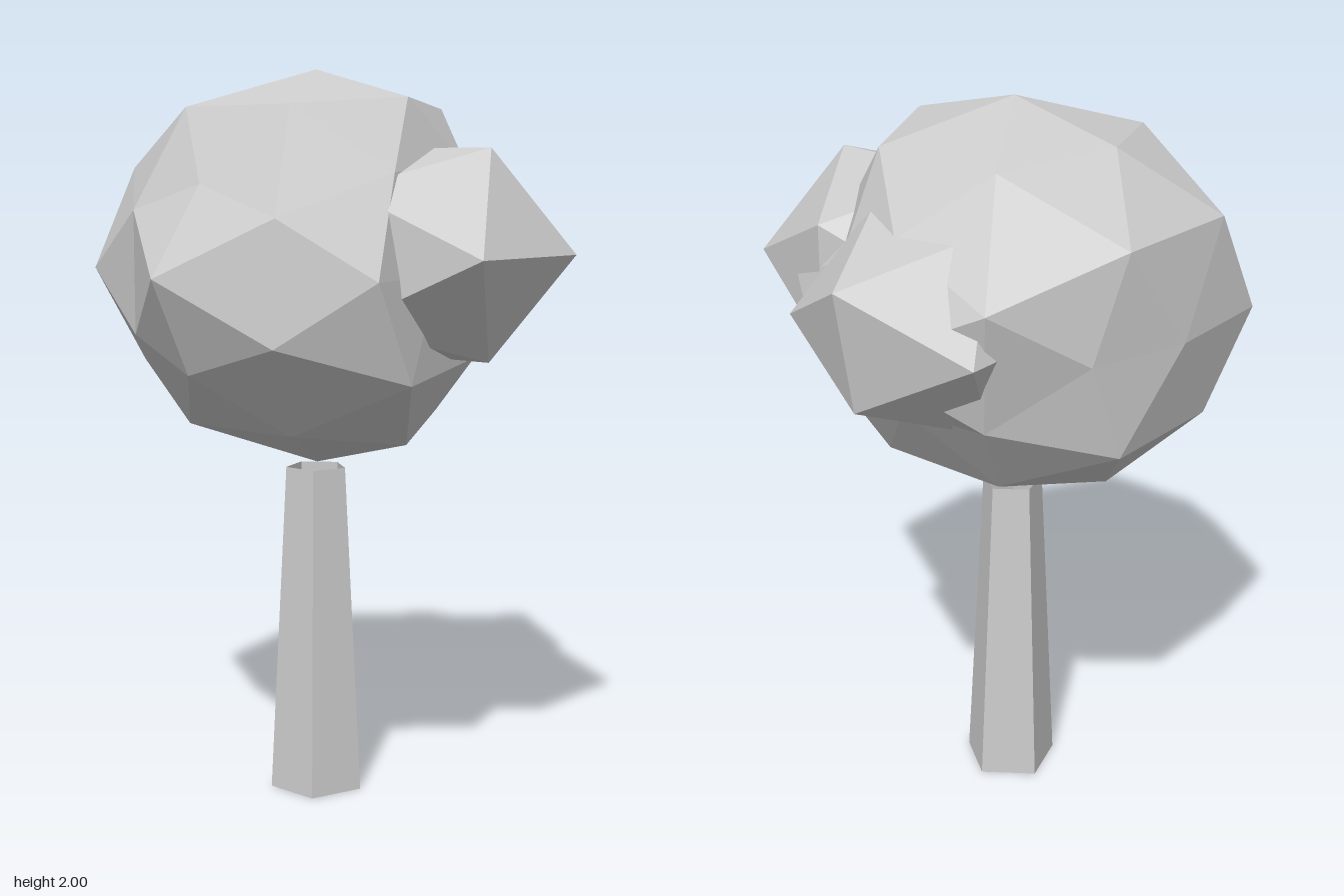
import * as THREE from 'three';

// Faceted ball stretched to an ellipsoid; the quarter turn puts an edge along z at the top
function facetedBall(detail, scale, centre) {
  const g = new THREE.IcosahedronGeometry(1, detail);
  g.rotateY(Math.PI / 2);
  g.scale(...scale);
  g.translate(...centre);
  return g;
}

// Pulls the corner nearest to each target onto that target
function pullCorners(g, targets) {
  const pos = g.attributes.position;
  const corners = [];
  for (let i = 0; i < pos.count; i++) corners.push(new THREE.Vector3().fromBufferAttribute(pos, i));
  for (const target of targets) {
    const t = new THREE.Vector3(...target);
    const nearest = Math.min(...corners.map((c) => c.distanceTo(t)));
    corners.forEach((c, i) => {
      if (c.distanceTo(t) < nearest + 0.001) pos.setXYZ(i, ...target);
    });
  }
}

export function createModel() {
  const group = new THREE.Group();
  const grey = new THREE.MeshStandardMaterial({ color: 0xcccccc, side: THREE.DoubleSide });
  grey.name = 'light grey';

  const add = (name, geometry) => {
    const g = geometry.index ? geometry.toNonIndexed() : geometry;
    g.computeVertexNormals(); // flat facets
    const mesh = new THREE.Mesh(g, grey);
    mesh.name = name;
    group.add(mesh);
  };

  // Tapered, open five-sided trunk with one corner towards +x
  const trunk = new THREE.CylinderGeometry(0.086, 0.133, 0.92, 5, 1, true);
  trunk.rotateY(Math.PI / 2);
  trunk.translate(-0.047, 0.46, -0.062);
  add('trunk', trunk);

  // Main crown, slightly squashed and irregular
  const crown = facetedBall(1, [0.61, 0.535, 0.61], [-0.045, 1.467, -0.062]);
  const back = [
    [-0.045, 1.465, -0.61], [-0.375, 1.465, -0.6], [0.235, 1.465, -0.53], [-0.24, 1.74, -0.58],
    [0.14, 1.74, -0.565], [0.47, 1.63, -0.39], [0.4, 1.29, -0.33],
  ];
  const flanks = [
    [-0.47, 1.63, -0.33], [-0.47, 1.3, -0.33], [-0.52, 1.62, 0.235], [-0.477, 1.7, -0.07],
    [-0.535, 1.215, -0.06], [0.415, 1.735, -0.062], [0.4, 1.28, -0.062],
  ];
  const underside = [0.127, -0.25].flatMap((z) => [[-0.35, 1.055, z], [0.245, 1.065, z]]);
  // Hollow behind the clumps
  const hollow = [
    [-0.045, 1.465, 0.36], [-0.36, 1.465, 0.43], [-0.2, 1.73, 0.345], [0.16, 1.75, 0.29],
    [0.29, 1.52, 0.41], [0.18, 1.23, 0.31], [0.38, 1.615, 0.16], [0.445, 1.38, 0.19],
  ];
  pullCorners(crown, [...back, ...flanks, ...underside, ...hollow]);
  add('crown', crown);

  // Smaller leaf clumps growing out of the crown
  add('frontClump', facetedBall(0, [0.38, 0.323, 0.4], [0.022, 1.517, 0.268]));
  const side = facetedBall(0, [0.385, 0.314, 0.355], [0.305, 1.505, -0.085]);
  pullCorners(side, [[0.655, 1.67, -0.082], [0.595, 1.343, -0.082]]);
  add('sideClump', side);

  return group;
}
